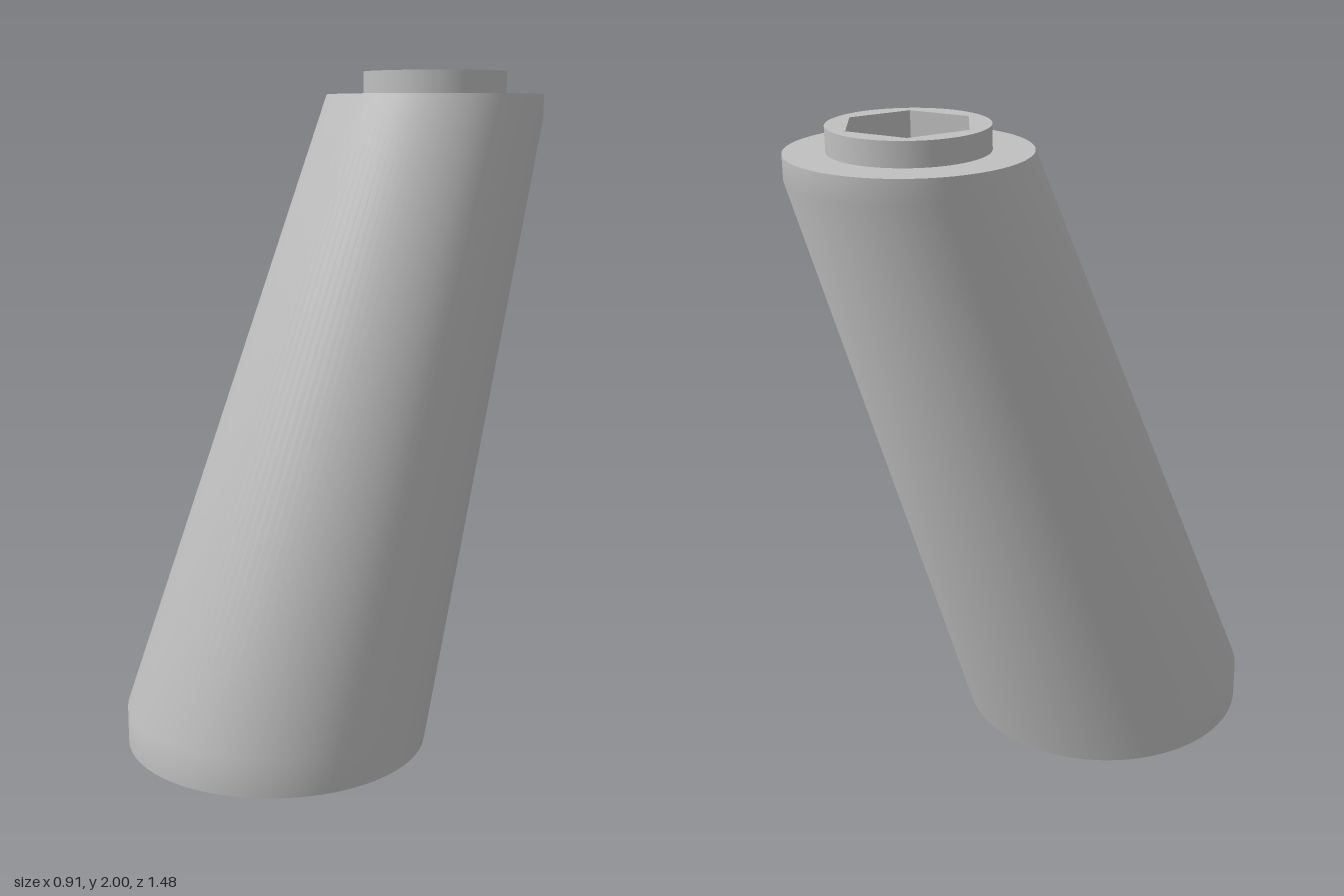
import * as THREE from 'three';
import { toCreasedNormals } from 'three/addons/utils/BufferGeometryUtils.js';

const FOOT = { r: 0.453, z: 0.285, y0: 0, y1: 0.11 };
const HEAD = { r: 0.341, z: -0.397, y0: 1.86, y1: 1.93 };
const COLLAR_R = 0.225, HEX_R = 0.188, BORE_R = 0.098;
const HEX_FLOOR = 1.6, BORE_FLOOR = 1.3, TOP = 2;

// Leaning tapered skin stretched over a short foot disc and a short head disc
function bodyGeometry() {
  const turn = Math.acos((FOOT.r - HEAD.r) / (HEAD.z - FOOT.z)); // where the wall stops leaning in
  const columns = [];
  const arc = (from, to, n, front) => {
    for (let i = 0; i <= n; i++) columns.push({ a: from + (to - from) * i / n, front });
  };
  arc(-turn, turn, 56, true);
  arc(turn, 2 * Math.PI - turn, 44, false);

  const point = (a, r, y, z) => new THREE.Vector3(r * Math.sin(a), y, z + r * Math.cos(a));
  const rows = columns.map(({ a, front }) => [
    point(a, 0, FOOT.y0, FOOT.z),
    point(a, FOOT.r, FOOT.y0, FOOT.z),
    point(a, FOOT.r, front ? FOOT.y1 : FOOT.y0, FOOT.z),
    point(a, HEAD.r, front ? HEAD.y1 : HEAD.y0, HEAD.z),
    point(a, HEAD.r, HEAD.y1, HEAD.z),
    point(a, COLLAR_R, HEAD.y1, HEAD.z),
  ]);

  const positions = [];
  const addTriangle = (a, b, c) => {
    if (new THREE.Triangle(a, b, c).getArea() < 1e-8) return;
    for (const p of [a, b, c]) positions.push(p.x, p.y, p.z);
  };
  rows.forEach((p, i) => {
    const q = rows[(i + 1) % rows.length];
    for (let k = 0; k < p.length - 1; k++) {
      addTriangle(p[k], q[k], q[k + 1]);
      addTriangle(p[k], q[k + 1], p[k + 1]);
    }
  });
  const geometry = new THREE.BufferGeometry();
  geometry.setAttribute('position', new THREE.Float32BufferAttribute(positions, 3));
  return toCreasedNormals(geometry, 0.6);
}

// Round collar with a hexagonal socket, reaching down inside the body
function collarGeometry() {
  const shape = new THREE.Shape().absarc(0, 0, COLLAR_R, 0, Math.PI * 2);
  const hex = [];
  for (let i = 0; i < 6; i++) {
    const a = -i * Math.PI / 3;
    hex.push(new THREE.Vector2(HEX_R * Math.sin(a), HEX_R * Math.cos(a)));
  }
  shape.holes.push(new THREE.Path(hex));
  const geometry = new THREE.ExtrudeGeometry(shape, {
    depth: TOP - HEX_FLOOR, bevelEnabled: false, curveSegments: 64,
  });
  geometry.rotateX(-Math.PI / 2).translate(0, HEX_FLOOR, HEAD.z);
  return toCreasedNormals(geometry, 0.5);
}

// Socket floor with a round blind bore
function boreGeometry() {
  const profile = [
    [0, BORE_FLOOR], [BORE_R, BORE_FLOOR], [BORE_R, HEX_FLOOR], [HEX_R, HEX_FLOOR],
  ].map(([r, y]) => new THREE.Vector2(r, y));
  const geometry = new THREE.LatheGeometry(profile, 48).translate(0, 0, HEAD.z);
  return toCreasedNormals(geometry, 0.5);
}

export function createModel() {
  const grey = new THREE.MeshStandardMaterial({ color: 0xc0c0c0, side: THREE.DoubleSide });
  grey.name = 'light grey';
  const model = new THREE.Group();
  model.name = 'slantedLeg';
  const add = (name, geometry) => {
    const mesh = new THREE.Mesh(geometry, grey);
    mesh.name = name;
    model.add(mesh);
  };
  add('body', bodyGeometry());
  add('hexSocketCollar', collarGeometry());
  add('socketFloorAndBore', boreGeometry());
  return model;
}
